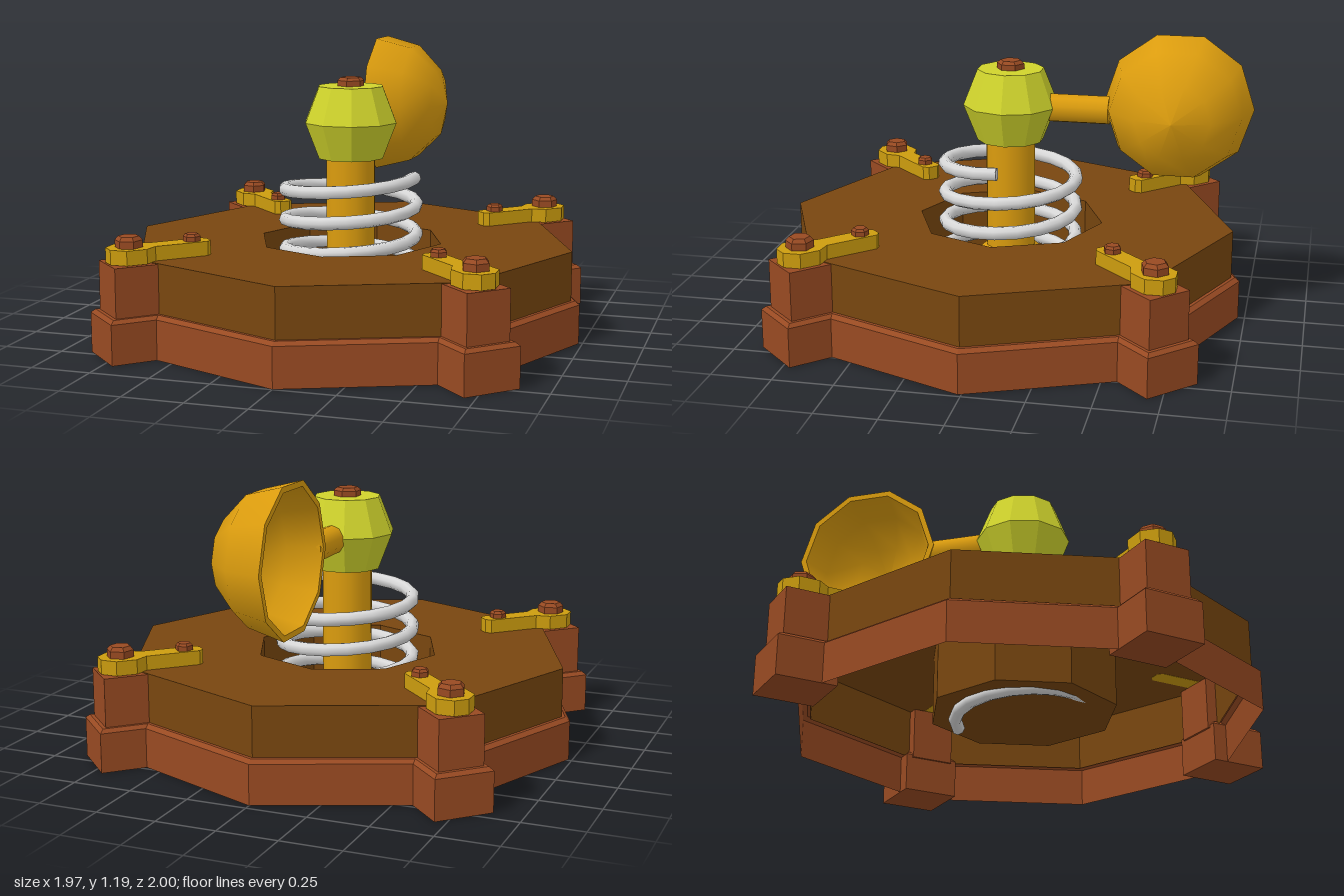
import * as THREE from 'three';

const mat = (name, color) => {
  const m = new THREE.MeshStandardMaterial({ color, side: THREE.DoubleSide });
  m.name = name;
  return m;
};

// one normal per face
const flat = (geo) => {
  const g = geo.index ? geo.toNonIndexed() : geo;
  g.computeVertexNormals();
  return g;
};

const lathe = (pts, sides) =>
  new THREE.LatheGeometry(pts.map(([r, y]) => new THREE.Vector2(r, y)), sides);

// helix from the bottom of the well up to its free end on +x
class Helix extends THREE.Curve {
  getPoint(t, target = new THREE.Vector3()) {
    const down = (1 - t) * 4.75;
    const a = down * Math.PI * 2;
    return target.set(0.28 * Math.cos(a), 0.66 - 0.128 * down, 0.28 * Math.sin(a));
  }
}

export function createModel() {
  const wood = mat('dark brown', 0x78460f);
  const rust = mat('red brown', 0x984a22);
  const gold = mat('gold', 0xdb9c0e);
  const brass = mat('brass', 0xcc9c0e);
  const lime = mat('lime', 0xcfd32c);
  const steel = mat('light steel', 0xd8d8d8);

  const root = new THREE.Group();
  root.name = 'springTrap';
  root.position.z = 0.013;

  const add = (name, geo, material, x = 0, y = 0, z = 0, parent = root) => {
    const m = new THREE.Mesh(geo, material);
    m.name = name;
    m.position.set(x, y, z);
    parent.add(m);
    return m;
  };

  // hexagonal bolt head with a bevelled top
  const bolt = (name, r, h, x, y, z, parent) =>
    add(name, flat(lathe([[r, -0.01], [r, h * 0.65], [r * 0.75, h], [0, h]], 6)),
      rust, x, y, z, parent);

  // octagonal platform with a sunken well, open underneath
  add('platform', flat(lathe(
    [[0.95, 0.165], [0.95, 0.385], [0.395, 0.385], [0.395, 0.085], [0, 0.085]], 8)), wood);
  add('lowerBand', flat(lathe(
    [[0.985, 0], [0.985, 0.165], [0.965, 0.18], [0.95, 0.18]], 8)), rust);

  // clamp outline: wide octagonal head and narrow tail, x is the radial direction
  const half = [[0.655, 0.022], [0.675, 0.042], [0.9, 0.042], [0.95, 0.08], [1.035, 0.08], [1.085, 0.03]];
  const outline = [...half, ...half.map(([u, v]) => [u, -v]).reverse()];
  const clampShape = new THREE.Shape(outline.map(([u, v]) => new THREE.Vector2(u, v)));
  const clampGeo = new THREE.ExtrudeGeometry(clampShape, { depth: 0.06, bevelEnabled: false });
  clampGeo.rotateX(-Math.PI / 2);

  // lower post block: the upper ring of vertices is pulled in as a bevel
  const blockGeo = new THREE.BoxGeometry(0.25, 0.18, 0.246, 1, 2, 1);
  const p = blockGeo.attributes.position;
  for (let i = 0; i < p.count; i++) {
    const y = p.getY(i);
    if (Math.abs(y) < 0.01) p.setY(i, 0.075);
    else if (y > 0) {
      p.setX(i, p.getX(i) - Math.sign(p.getX(i)) * 0.015);
      p.setZ(i, p.getZ(i) * 0.88);
    }
  }
  const block = flat(blockGeo);

  // four corner posts on the diagonals, each with a bolted clamp
  for (let i = 0; i < 4; i++) {
    const corner = new THREE.Group();
    corner.name = 'corner';
    corner.rotation.y = Math.PI / 4 + (i * Math.PI) / 2;
    root.add(corner);
    add('lowerPost', block, rust, 0.996, 0.09, 0, corner);
    add('upperPost', new THREE.BoxGeometry(0.23, 0.23, 0.19), rust, 0.976, 0.267, 0, corner);
    add('clamp', clampGeo, brass, 0, 0.384, 0, corner);
    bolt('largeBolt', 0.056, 0.045, 0.997, 0.444, 0, corner);
    bolt('smallBolt', 0.036, 0.03, 0.728, 0.444, 0, corner);
  }

  // coil spring
  add('spring', new THREE.TubeGeometry(new Helix(), 90, 0.028, 8), steel);
  add('springEnd', new THREE.CircleGeometry(0.028, 8).rotateY(Math.PI), steel, 0.28, 0.66, 0);

  // shaft with flared foot
  add('shaftFoot', lathe([[0.24, 0.085], [0.235, 0.14], [0.17, 0.21], [0.105, 0.27]], 12), gold);
  add('shaft', new THREE.CylinderGeometry(0.105, 0.105, 0.56, 12), gold, 0, 0.48, 0);

  // faceted hub with top bolt
  const hub = flat(lathe([[0, 0.735], [0.14, 0.735], [0.2, 0.888], [0.14, 1.04], [0, 1.04]], 10));
  hub.rotateY(Math.PI / 2);
  add('hub', hub, lime);
  bolt('hubBolt', 0.058, 0.037, 0, 1.039, 0);

  // arm to the back
  add('arm', new THREE.CylinderGeometry(0.06, 0.06, 0.28, 10).rotateX(Math.PI / 2), gold, 0, 0.88, -0.28);

  // hollow half-ball cup, open to -x
  const arc = (r) => [0, 1, 2, 3].map((k) => {
    const a = (k * Math.PI) / 6;
    return [r * Math.cos(a), r * Math.sin(a)];
  });
  const cup = new THREE.Group();
  cup.name = 'cup';
  cup.position.set(-0.065, 0.897, -0.7);
  cup.rotation.z = -Math.PI / 2;
  root.add(cup);
  add('cupOutside', lathe(arc(0.313), 10), gold, 0, 0, 0, cup);
  add('cupInside', lathe(arc(0.288).reverse(), 10), gold, 0, 0, 0, cup);
  add('cupRim', lathe([[0.288, 0], [0.313, 0]], 10), gold, 0, 0, 0, cup);

  const model = new THREE.Group();
  model.name = 'model';
  model.add(root);
  return model;
}
